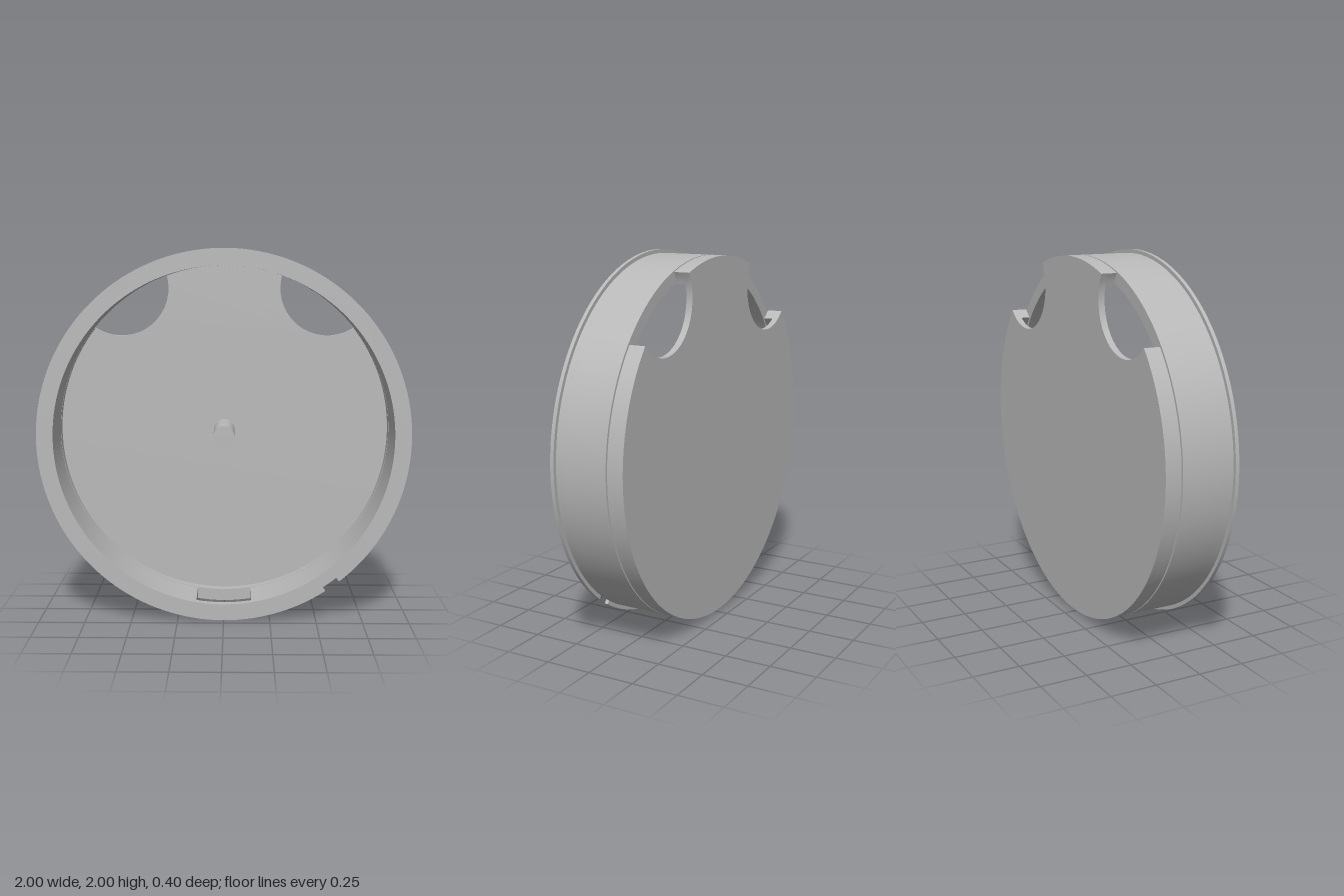
import * as THREE from 'three';
import { toCreasedNormals } from 'three/addons/utils/BufferGeometryUtils.js';

const grey = new THREE.MeshStandardMaterial({ color: 0xb8b8b8 });
grey.name = 'plain grey';

const OUTER = 0.98, INNER = 0.915;
const { PI, acos, asin, atan2, hypot, cos, sin } = Math;

// Points along an arc from angle a to angle b
function arc(cx, cy, r, a, b) {
  const n = Math.max(4, Math.ceil(Math.abs(b - a) * r * 24));
  return Array.from({ length: n + 1 }, (_, i) => {
    const t = a + (b - a) * i / n;
    return new THREE.Vector2(cx + r * cos(t), cy + r * sin(t));
  });
}

// Drops repeated points where two arcs meet
function tidy(points) {
  return points.filter((p, i) => p.distanceTo(points[(i + 1) % points.length]) > 1e-4);
}

// Extrudes an outline from z0 to z1 with smooth curved walls
function slab(name, outline, z0, z1, hole) {
  const shape = new THREE.Shape(tidy(outline));
  if (hole) shape.holes.push(new THREE.Path(tidy(hole)));
  const geo = new THREE.ExtrudeGeometry(shape, { depth: z1 - z0, bevelEnabled: false });
  geo.translate(0, 0, z0);
  const mesh = new THREE.Mesh(toCreasedNormals(geo, 0.5), grey);
  mesh.name = name;
  return mesh;
}

// Finger notches in the back cover
const NX = 0.575, NY = 0.79, NR = 0.265;
const nd = hypot(NX, NY), nAng = atan2(NY, NX), nIn = nAng + PI;
// Where the notch meets a circle of radius R about the centre
function meet(R) {
  const d = acos((R * R + nd * nd - NR * NR) / (2 * R * nd));
  const b = acos((nd * nd + NR * NR - R * R) / (2 * nd * NR));
  return { hi: nAng + d, lo: nAng - d, nHi: nIn - b, nLo: nIn + b };
}
const rightNotch = (a, b) => arc(NX, NY, NR, a, b);
const leftNotch = (a, b) => arc(-NX, NY, NR, PI - a, PI - b);

function buildCover() {
  const g = new THREE.Group();
  g.name = 'backCover';
  const o = meet(OUTER), i = meet(INNER);
  const circle = (r, a, b) => arc(0, 0, r, a, b);
  g.add(slab('coverPlate', [
    ...circle(OUTER, o.hi, PI - o.hi), ...leftNotch(o.nHi, o.nLo),
    ...circle(OUTER, PI - o.lo, 2 * PI + o.lo), ...rightNotch(o.nLo, o.nHi),
  ], -0.2, -0.165));
  g.add(slab('coverRimTop', [
    ...circle(OUTER, o.hi, PI - o.hi), ...leftNotch(o.nHi, i.nHi),
    ...circle(INNER, PI - i.hi, i.hi), ...rightNotch(i.nHi, o.nHi),
  ], -0.165, -0.113));
  g.add(slab('coverRimBottom', [
    ...circle(OUTER, PI - o.lo, 2 * PI + o.lo), ...rightNotch(o.nLo, i.nLo),
    ...circle(INNER, 2 * PI + i.lo, PI - i.lo), ...leftNotch(i.nLo, o.nLo),
  ], -0.165, -0.113));

  // Centre pin standing on the plate
  const pin = new THREE.Mesh(new THREE.CylinderGeometry(0.057, 0.057, 0.305, 40), grey);
  pin.name = 'centrePin';
  pin.rotation.x = PI / 2;
  pin.position.z = -0.0125;
  g.add(pin);
  return g;
}

function buildDrum() {
  const g = new THREE.Group();
  g.name = 'drum';
  // Wall with a straight-sided opening at the bottom
  const go = asin(0.15 / OUTER), gi = asin(0.15 / INNER);
  g.add(slab('drumWall', [
    ...arc(0, 0, OUTER, -PI / 2 + go, 1.5 * PI - go),
    ...arc(0, 0, INNER, 1.5 * PI - gi, -PI / 2 + gi),
  ], -0.105, 0.145));
  g.add(slab('drumFrontBand', arc(0, 0, OUTER, 0, 2 * PI), 0.145, 0.18,
    arc(0, 0, INNER, 0, 2 * PI)));

  // Flange with a small locating notch at the lower left
  const mid = -0.942, half = 0.046;
  g.add(slab('flange', [
    ...arc(0, 0, 1, mid + half, mid + 2 * PI - half),
    ...arc(0, 0, 0.965, mid - half, mid + half),
  ], 0.18, 0.2, arc(0, 0, 0.911, 0, 2 * PI)));
  return g;
}

export function createModel() {
  const model = new THREE.Group();
  model.name = 'roundCase';
  const body = new THREE.Group();
  body.name = 'caseBody';
  body.position.y = 1;
  body.add(buildDrum(), buildCover());
  model.add(body);
  return model;
}
